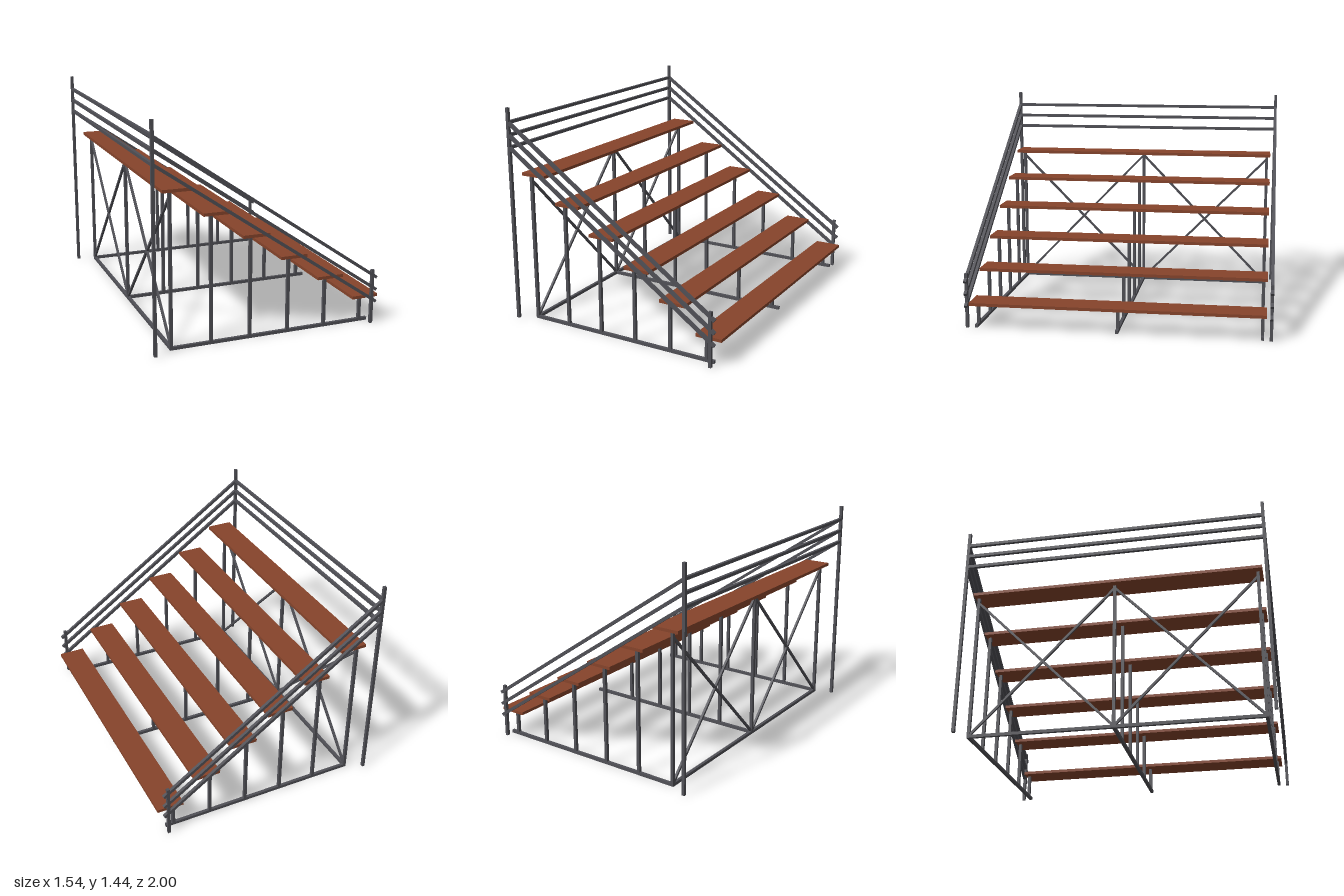
import * as THREE from 'three';

export function createModel() {
  const model = new THREE.Group();
  model.name = 'bleachers';
  const steel = new THREE.MeshStandardMaterial({ color: 0x505056 });
  steel.name = 'dark steel';
  const wood = new THREE.MeshStandardMaterial({ color: 0x86442b });
  wood.name = 'brown wood';

  const T = 0.02; // bar thickness

  // Square bar between two points
  function bar(name, a, b, t = T) {
    const from = new THREE.Vector3(...a);
    const to = new THREE.Vector3(...b);
    const mesh = new THREE.Mesh(new THREE.BoxGeometry(t, t, from.distanceTo(to)), steel);
    mesh.position.copy(from).add(to).multiplyScalar(0.5);
    mesh.lookAt(to);
    mesh.name = name;
    model.add(mesh);
  }

  const rows = 6;
  const frames = [-0.935, -0.003, 0.93];
  const backX = -0.643;

  // Stepped seats, each on one leg per frame
  for (let i = 0; i < rows; i++) {
    const y = 1.006 - i * 0.1665;
    const seat = new THREE.Mesh(new THREE.BoxGeometry(0.18, T, 1.92), wood);
    seat.position.set(-0.607 + i * 0.2575, y, 0);
    seat.name = 'seat';
    model.add(seat);
    const x = backX + i * 0.2596;
    for (const z of frames) bar('leg', [x, 0.01, z], [x, y - T / 2, z]);
  }

  // Ground frame
  for (const z of frames) bar('baseRail', [backX - 0.01, 0.01, z], [0.71, 0.01, z]);
  bar('backBaseRail', [backX, 0.01, -0.943], [backX, 0.01, 0.937]);

  // Crossed braces at the back
  for (let i = 0; i < 2; i++) {
    const z0 = frames[i], z1 = frames[i + 1];
    const outer = 0.965, middle = 0.98;
    bar('backBrace', [backX, 0.015, z0], [backX, i === 0 ? middle : outer, z1], 0.015);
    bar('backBrace', [backX, i === 0 ? outer : middle, z0], [backX, 0.015, z1], 0.015);
  }

  // Railings
  const postX = -0.763;
  for (const z of [-0.99, 0.99]) {
    bar('tallPost', [postX, 0, z], [postX, 1.44, z]);
    bar('shortPost', [0.71, 0, z], [0.71, 0.365, z]);
    for (const y of [1.345, 1.262, 1.18]) {
      bar('sideRail', [postX, y, z], [0.74, y - 1.035, z]);
    }
  }
  for (const y of [1.345, 1.262, 1.18]) {
    bar('backRail', [postX, y, -0.99], [postX, y, 0.99]);
  }

  return model;
}
